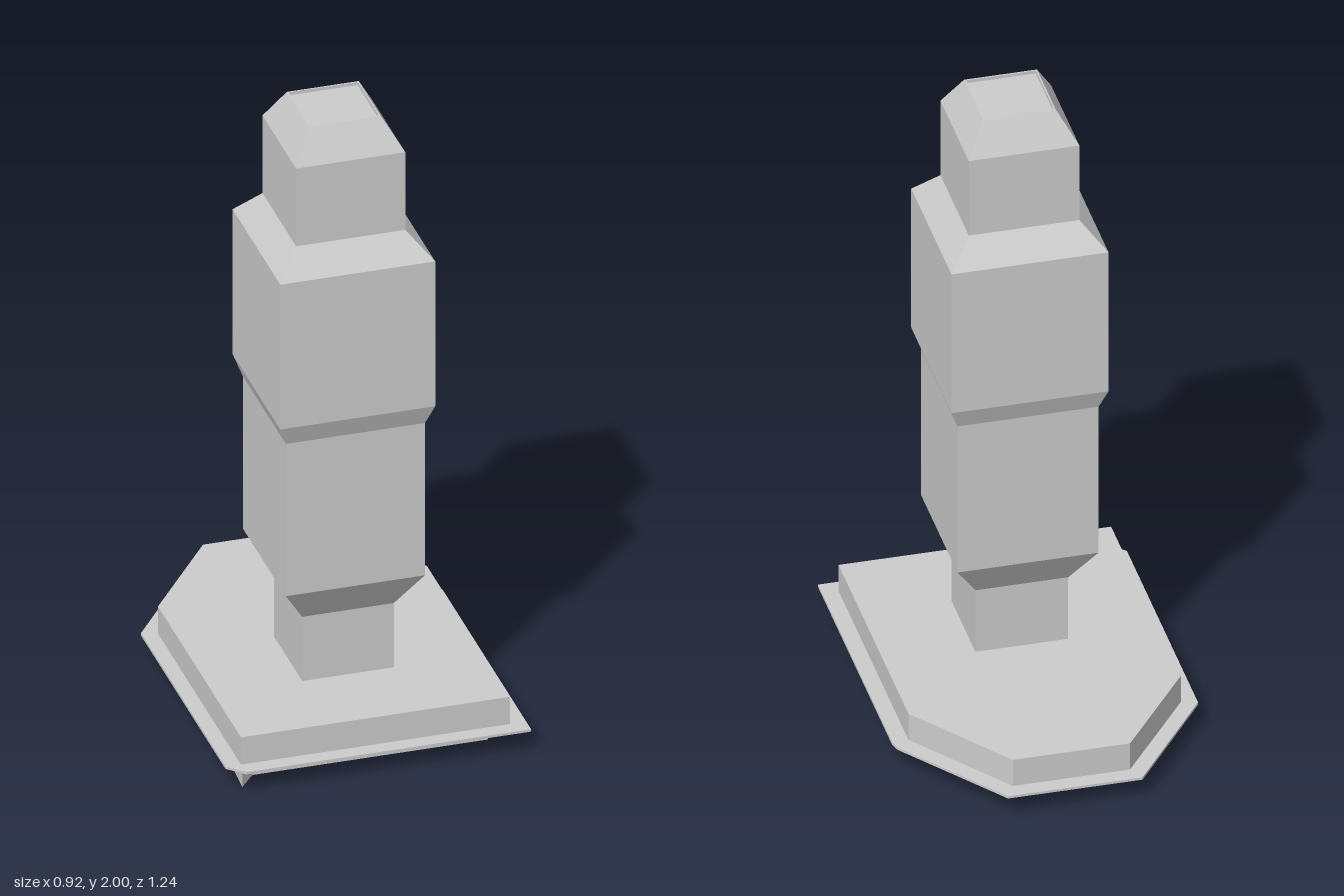
import * as THREE from 'three';

export function createModel() {
  const model = new THREE.Group();
  const material = new THREE.MeshStandardMaterial({ color: 0xcccccc, flatShading: true });

  function add(name, geometry) {
    const mesh = new THREE.Mesh(geometry, material);
    mesh.name = name;
    model.add(mesh);
    return mesh;
  }

  // Horizontal slab from an [x, z] outline, between two heights
  function slab(name, outline, bottom, top) {
    const shape = new THREE.Shape(outline.map(([x, z]) => new THREE.Vector2(x, z)));
    const geometry = new THREE.ExtrudeGeometry(shape, { depth: top - bottom, bevelEnabled: false });
    geometry.rotateX(Math.PI / 2).translate(0, top, 0);
    add(name, geometry);
  }

  // Inset foot with a small spur at one front corner
  slab('foot', [
    [0.36, 0.51], [-0.36, 0.51], [-0.41, 0.57], [-0.36, -0.24],
    [-0.155, -0.51], [0.155, -0.51], [0.35, -0.25], [0.36, -0.22],
  ], 0, 0.066);

  // Thin projecting flange
  slab('flange', [
    [0.46, 0.615], [-0.41, 0.615], [-0.46, 0.565], [-0.46, -0.272],
    [-0.203, -0.62], [0.203, -0.62], [0.453, -0.285], [0.46, -0.258],
  ], 0.066, 0.074);

  // Main base with a tapered back
  slab('base', [
    [0.41, 0.567], [-0.413, 0.567], [-0.413, -0.255],
    [-0.178, -0.57], [0.176, -0.57], [0.41, -0.255],
  ], 0.074, 0.165);

  // Square stepped column: [half width, height], with a shallow recess on top
  const profile = [
    [0.14, 0.16], [0.14, 0.38], [0.213, 0.5], [0.213, 1.01], [0.237, 1.075],
    [0.237, 1.56], [0.167, 1.64], [0.167, 1.9], [0.11, 2], [0.105, 2],
    [0.105, 1.99], [0, 1.99],
  ].map(([half, y]) => new THREE.Vector2(half * Math.SQRT2, y));
  const column = add('column', new THREE.LatheGeometry(profile, 4, Math.PI / 4));
  column.position.set(-0.002, 0, 0.157);

  return model;
}
